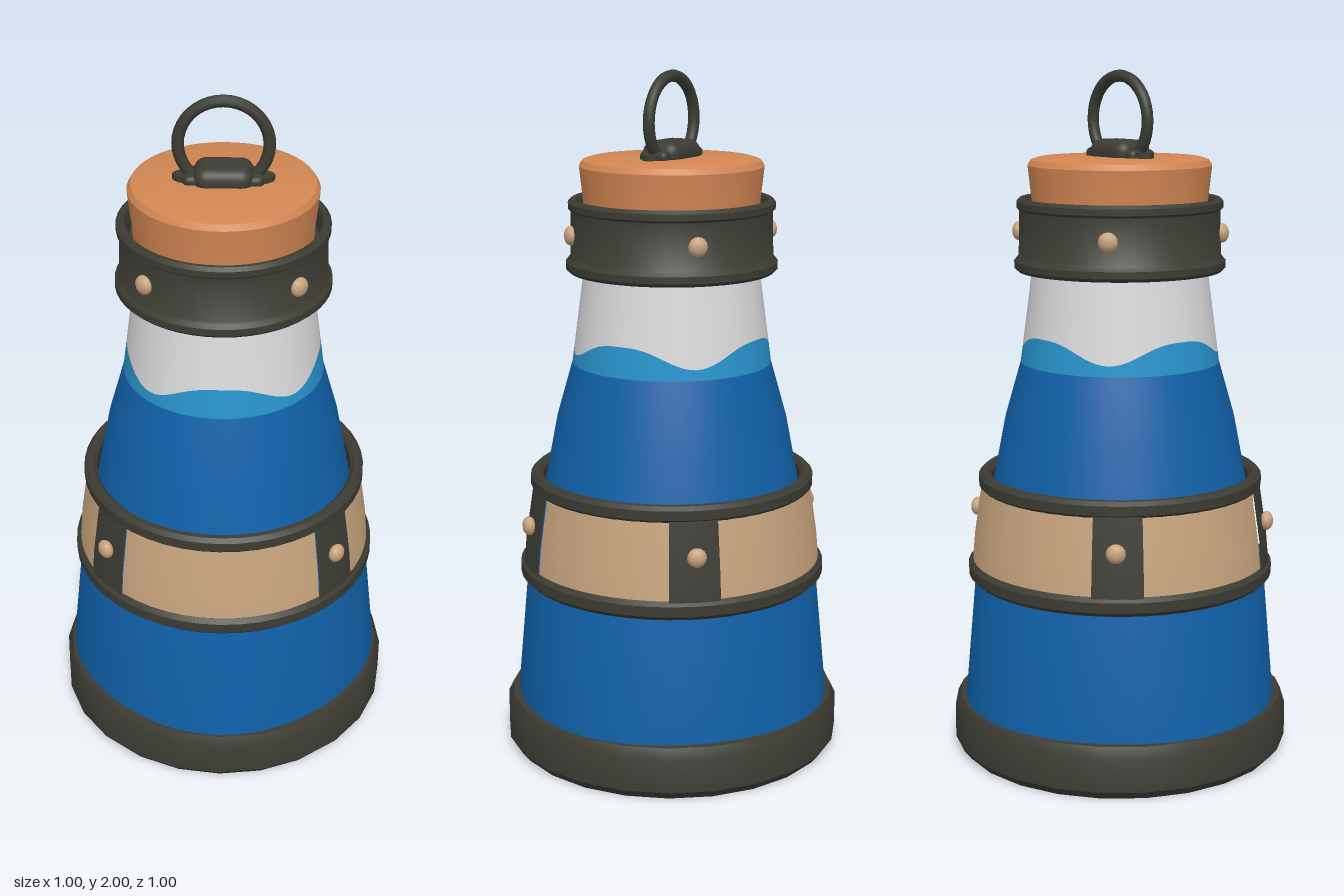
import * as THREE from 'three';
import { toCreasedNormals } from 'three/addons/utils/BufferGeometryUtils.js';
import { RoundedBoxGeometry } from 'three/addons/geometries/RoundedBoxGeometry.js';

const paint = (name, color) => {
  const m = new THREE.MeshStandardMaterial({ color });
  m.name = name;
  return m;
};

export function createModel() {
  const iron = paint('dark iron', 0x3c3c34);
  const blue = paint('deep blue', 0x1060a8);
  const foam = paint('light blue', 0x2a98d2);
  const glass = paint('pale glass', 0xe2e2e4);
  const tan = paint('tan leather', 0xc8a47e);
  const cork = paint('cork', 0xd28652);

  const group = new THREE.Group();
  const add = (name, geometry, material, parent = group) => {
    const mesh = new THREE.Mesh(geometry, material);
    mesh.name = name;
    parent.add(mesh);
    return mesh;
  };

  // Profiles are [radius, height] pairs, listed upwards on the outside
  const lathe = (points, segments = 48, start = 0, length = Math.PI * 2) =>
    new THREE.LatheGeometry(points.map(([r, y]) => new THREE.Vector2(r, y)), segments, start, length);
  const turned = (...args) => toCreasedNormals(lathe(...args), 0.6);

  // Rounded hoop between two radii and two heights
  const hoop = (inner, outer, low, high) => {
    const c = Math.min(outer - inner, high - low) * 0.3;
    return turned([
      [inner, low], [outer - c, low], [outer, low + c], [outer, high - c],
      [outer - c, high], [inner + c, high], [inner, high - c], [inner, low],
    ]);
  };

  // Base
  add('base', turned([[0, 0], [0.48, 0], [0.5, 0.025], [0.5, 0.125], [0.485, 0.155], [0.42, 0.155]], 24), iron);

  // Lower body, swelling slightly towards the four sides
  const body = lathe([[0.478, 0.13], [0.472, 0.2], [0.437, 0.52], [0.372, 0.82], [0.337, 1.0], [0.29, 1.165]]);
  const pos = body.attributes.position;
  for (let i = 0; i < pos.count; i++) {
    const x = pos.getX(i), y = pos.getY(i), z = pos.getZ(i);
    const swell = 0.018 * Math.max(0, 1 - y / 0.8);
    const k = 1 - swell * (1 - Math.cos(4 * Math.atan2(x, z)));
    pos.setX(i, x * k);
    pos.setZ(i, z * k);
  }
  body.computeVertexNormals();
  add('liquid', body, blue);

  // Wavy waterline splits the upper body in two
  const wave = (a) => 1.252 - 0.057 * Math.abs(Math.sin(2 * a)) ** 3;
  const wall = (low, high) => {
    const g = lathe([[0.29, 0], [0.255, 1]], 96);
    const p = g.attributes.position;
    for (let i = 0; i < p.count; i++) {
      const a = (Math.floor(i / 2) / 96) * Math.PI * 2;
      const y = i % 2 ? high(a) : low(a);
      const r = 0.29 - (y - 1.165) * 0.132;
      p.setXYZ(i, r * Math.sin(a), y, r * Math.cos(a));
    }
    return g;
  };
  add('foam', wall(() => 1.165, wave), foam);
  add('upperGlass', wall(wave, () => 1.46), glass);

  // Middle band: hoops, inner sleeve, leather panels and straps
  const band = new THREE.Group();
  band.name = 'middleBand';
  group.add(band);
  add('lowerHoop', hoop(0.41, 0.452, 0.52, 0.575), iron, band);
  add('upperHoop', hoop(0.38, 0.418, 0.79, 0.84), iron, band);
  add('sleeve', turned([[0.39, 0.81], [0.415, 0.55]]), iron, band);
  const deg = Math.PI / 180;
  const arc = (from, to, lift) =>
    lathe([[0.44 + lift, 0.56], [0.432 + lift, 0.65], [0.408 + lift, 0.81]], 12, from * deg, (to - from) * deg);
  const edges = [41, 60, 120, 139, 221, 240, 300, 319, 401];
  for (let i = 0; i < 8; i++) {
    const strap = i % 2 === 0;
    add(strap ? 'strap' : 'leatherPanel', arc(edges[i], edges[i + 1], strap ? 0.004 : 0), strap ? iron : tan, band);
  }

  // Neck collar
  add('collar', turned([
    [0.25, 1.435], [0.295, 1.43], [0.306, 1.44], [0.306, 1.46], [0.295, 1.472], [0.293, 1.475],
    [0.29, 1.605], [0.298, 1.612], [0.298, 1.63], [0.288, 1.64], [0.275, 1.638], [0.268, 1.625], [0.265, 1.58], [0.2, 1.58],
  ]), iron);

  // Rivets in mirrored sets of four
  const stud = new THREE.SphereGeometry(0.028, 12, 8);
  const rivets = (name, x, y, z) => {
    for (const sx of [-1, 1]) for (const sz of [-1, 1]) {
      const m = add(name, stud, tan);
      m.position.set(sx * x, y, sz * z);
      m.rotation.y = Math.atan2(sx * x, sz * z);
      m.scale.z = 0.7;
    }
  };
  rivets('bandRivet', 0.336, 0.7, 0.283);
  rivets('collarRivet', 0.209, 1.54, 0.209);

  // Cork stopper
  add('cork', turned([[0.25, 1.56], [0.255, 1.64], [0.265, 1.732], [0.255, 1.748], [0.235, 1.754], [0, 1.757]]), cork);

  // Clasp and pull ring
  const plate = add('claspPlate', new THREE.CylinderGeometry(0.14, 0.14, 0.026, 24), iron);
  plate.scale.z = 0.34;
  plate.position.y = 1.758;
  add('claspShoulder', new RoundedBoxGeometry(0.22, 0.035, 0.09, 3, 0.016), iron).position.y = 1.762;
  const clasp = add('claspBarrel', new RoundedBoxGeometry(0.165, 0.075, 0.122, 4, 0.035), iron);
  clasp.position.y = 1.767;
  add('pullRing', new THREE.TorusGeometry(0.124, 0.017, 10, 40), iron).position.y = 1.859;

  return group;
}
